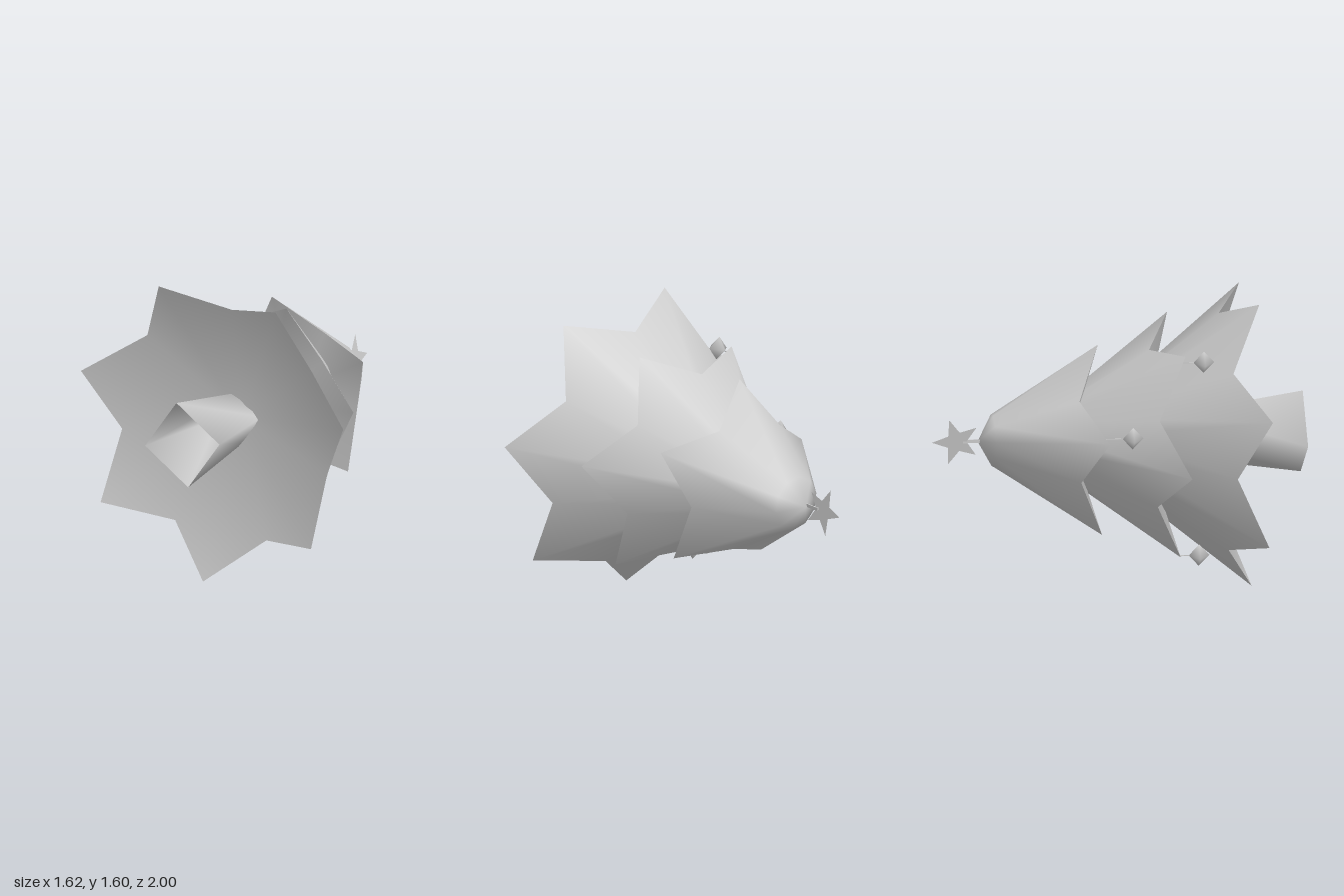
import * as THREE from 'three';
import { mergeVertices } from 'three/addons/utils/BufferGeometryUtils.js';

// Skin over rings around the z axis, listed from +z towards -z; the first point lies at startDeg.
// Each ring is [z, radius of even points, radius of odd points, z of odd points].
function loft(sides, startDeg, rings) {
  const pos = [], idx = [];
  rings.forEach(([z, even, odd = even, zOdd = z], k) => {
    for (let i = 0; i < sides; i++) {
      const a = THREE.MathUtils.degToRad(startDeg) + (i / sides) * Math.PI * 2;
      const r = i % 2 ? odd : even;
      pos.push(r * Math.cos(a), r * Math.sin(a), i % 2 ? zOdd : z);
      if (k === 0) continue;
      const j = (i + 1) % sides, p = (k - 1) * sides, q = k * sides;
      if (rings[k - 1][1] > 0) idx.push(p + i, q + i, p + j);
      if (even > 0) idx.push(p + j, q + i, q + j);
    }
  });
  const g = new THREE.BufferGeometry();
  g.setAttribute('position', new THREE.Float32BufferAttribute(pos, 3));
  g.setIndex(idx);
  const merged = mergeVertices(g);
  merged.computeVertexNormals();
  return merged;
}

export function createModel() {
  const tree = new THREE.Group();
  tree.name = 'lyingTree';
  const grey = new THREE.MeshStandardMaterial({ color: 0xcccccc, side: THREE.DoubleSide });
  grey.name = 'plain grey';

  const add = (name, geometry, x, y, z = 0) => {
    const mesh = new THREE.Mesh(geometry, grey);
    mesh.name = name;
    mesh.position.set(x, y, z);
    tree.add(mesh);
    return mesh;
  };

  // Open, four-sided tapering trunk
  add('trunk', loft(4, 9, [[1, 0.232], [0.38, 0.135]]), -0.018, 0.838);

  // Branch skirts: jagged hem whose valleys sit further back, shoulder ring, tip,
  // and a shallow underside running from the hem to the axis
  const skirts = [
    { name: 'lowerBranches', points: 7, deg: 9.7, c: [-0.005, 0.838], hem: [0.725, 0.832, 0.65, 0.56], top: [-0.05, 0.2], under: 0.39 },
    { name: 'middleBranches', points: 6, deg: 8.6, c: [-0.02, 0.842], hem: [0.31, 0.663, 0.49, 0.165], top: [-0.37, 0.15], under: 0.13 },
    { name: 'upperBranches', points: 5, deg: 27.5, c: [-0.027, 0.842], hem: [-0.115, 0.535, 0.37, -0.24], top: [-0.67, 0.145], under: -0.25 },
  ];
  for (const s of skirts) {
    const n = s.points * 2;
    add(s.name, loft(n, s.deg, [s.hem, s.top, [s.top[0] - 0.08, 0]]), s.c[0], s.c[1]);
    add(s.name + 'Underside', loft(n, s.deg, [s.hem, [s.under, 0]]), s.c[0], s.c[1]);
  }

  // Baubles hanging from three branch points on short threads
  const hung = [
    [-0.51, 0.94, -0.13, 0.015],
    [-0.425, 1.325, 0.28, 0.41],
    [-0.255, 0.232, 0.3, 0.41],
  ];
  for (const [x, y, z0, z1] of hung) {
    add('bauble', loft(4, 11, [[0.056, 0], [0, 0.062], [-0.056, 0]]), x, y, z1);
    add('baubleThread', new THREE.BoxGeometry(0.005, 0.005, z1 - z0), x, y, (z0 + z1) / 2);
  }

  // Flat star on the tip, leaning slightly, with its little stem
  const outline = [];
  for (let i = 0; i < 10; i++) {
    const a = (i / 10) * Math.PI * 2, r = i % 2 ? 0.055 : 0.132;
    outline.push(new THREE.Vector2(r * Math.cos(a), r * Math.sin(a)));
  }
  const star = new THREE.ShapeGeometry(new THREE.Shape(outline));
  star.rotateY(Math.PI / 2).rotateZ(THREE.MathUtils.degToRad(9));
  add('star', star, -0.043, 0.847, -0.867);
  add('starStem', new THREE.BoxGeometry(0.006, 0.018, 0.1), -0.04, 0.847, -0.78);

  return tree;
}
